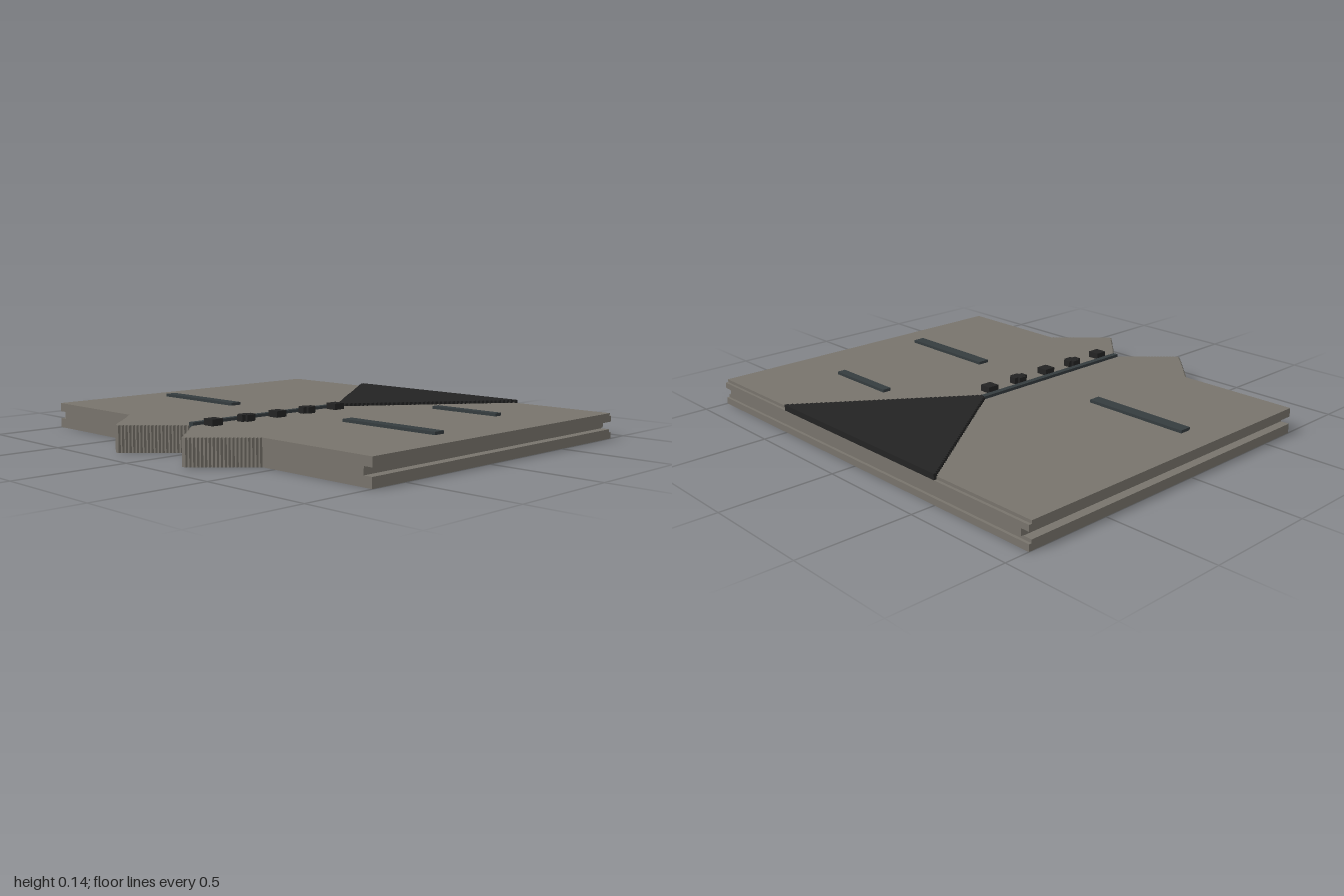
import * as THREE from 'three';

const mat = (name, color) => {
  const m = new THREE.MeshStandardMaterial({ color });
  m.name = name;
  return m;
};

export function createModel() {
  const model = new THREE.Group();
  model.name = 'waistcoatTile';
  const cloth = mat('greyCloth', 0x78746c);
  const black = mat('black', 0x232323);
  const slate = mat('darkSlate', 0x353c3f);

  const add = (name, geometry, material) => {
    const mesh = new THREE.Mesh(geometry, material);
    mesh.name = name;
    model.add(mesh);
  };

  // Box given by its limits on each axis
  const box = (name, material, x0, x1, y0, y1, z0, z1) => {
    const g = new THREE.BoxGeometry(x1 - x0, y1 - y0, z1 - z0);
    g.translate((x0 + x1) / 2, (y0 + y1) / 2, (z0 + z1) / 2);
    add(name, g, material);
  };

  // Upright prism over a triangle with stair-stepped flanks
  const steppedTriangle = (name, material, cx, half, baseZ, tipZ, steps, y0, y1) => {
    const left = [];
    for (let i = 0; i < steps; i++) {
      const x = half * (1 - i / steps);
      const za = baseZ + (tipZ - baseZ) * (i / steps);
      const zb = baseZ + (tipZ - baseZ) * ((i + 1) / steps);
      left.push([x, za], [x, zb]);
    }
    const points = left.map(([x, z]) => new THREE.Vector2(cx - x, z));
    points.push(...left.reverse().map(([x, z]) => new THREE.Vector2(cx + x, z)));
    const g = new THREE.ExtrudeGeometry(new THREE.Shape(points), { depth: y1 - y0, bevelEnabled: false });
    g.rotateX(Math.PI / 2).translate(0, y1, 0);
    add(name, g, material);
  };

  const top = 0.115, lift = 0.128, back = -0.89, step = -0.877, hem = 0.675;

  // Slab with a groove along each side
  const profile = [[1, 0], [1, 0.043], [0.96, 0.043], [0.96, 0.076], [1, 0.076], [1, top]];
  const outline = [...profile, ...profile.map(([x, y]) => [-x, y]).reverse()];
  const slab = new THREE.ExtrudeGeometry(
    new THREE.Shape(outline.map(([x, y]) => new THREE.Vector2(x, y))),
    { depth: hem - step, bevelEnabled: false });
  slab.translate(0, 0, step);
  add('body', slab, cloth);

  // Back rim, with a narrow slot and a lowered top edge
  box('backRimLower', cloth, -1, 1, 0, 0.029, back, step);
  box('backRimMiddle', cloth, -0.96, 0.96, 0.045, 0.076, back, step);
  box('backRimUpper', cloth, -1, 1, 0.076, 0.102, back, step);

  // Pointed hem
  for (const side of [-1, 1]) {
    steppedTriangle('hemPoint', cloth, side * 0.222, 0.21, hem, 0.89, 20, 0, top);
  }

  // Neck opening and front seam
  steppedTriangle('neckOpening', black, 0, 0.5, back, -0.19, 42, 0.102, lift);
  box('frontSeam', slate, -0.016, 0.01, 0.1, lift, -0.2, hem + 0.002);

  // Pockets
  box('rightPocket', slate, -0.86, -0.36, 0.11, lift, 0.105, 0.16);
  box('leftPocket', slate, 0.36, 0.855, 0.11, lift, 0.105, 0.16);
  box('breastPocket', slate, 0.36, 0.71, 0.11, lift, -0.468, -0.428);

  // Buttons, alternating square and notched
  for (let i = 0; i < 5; i++) {
    const z = -0.108 + i * 0.178, x = 0.053;
    const sizes = i % 2 ? [[0.03, 0.02], [0.017, 0.037]] : [[0.028, 0.028]];
    for (const [hx, hz] of sizes) {
      box('button', black, x - hx, x + hx, 0.11, hz > 0.03 ? 0.1435 : 0.143, z - hz, z + hz);
    }
  }
  return model;
}
